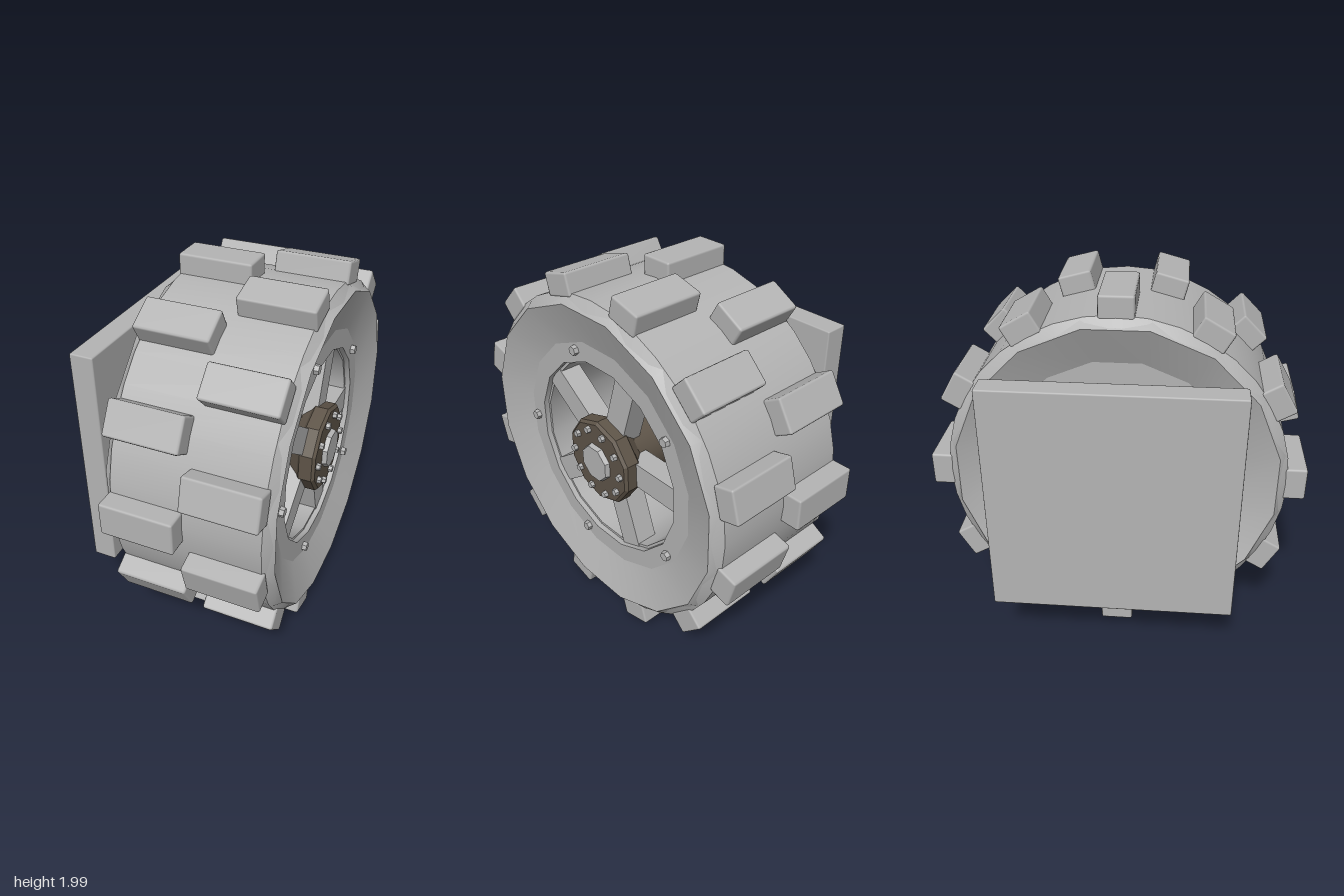
import * as THREE from 'three';
import { toCreasedNormals } from 'three/addons/utils/BufferGeometryUtils.js';
import { RoundedBoxGeometry } from 'three/addons/geometries/RoundedBoxGeometry.js';

export function createModel() {
  const grey = new THREE.MeshStandardMaterial({ color: 0xb4b4b4 });
  grey.name = 'grey';
  const brown = new THREE.MeshStandardMaterial({ color: 0x5e5448 });
  brown.name = 'dark brown';
  const orange = new THREE.MeshStandardMaterial({ color: 0xd8a22c });
  orange.name = 'orange';

  const model = new THREE.Group();
  model.name = 'wheelAssembly';
  const wheel = new THREE.Group();
  wheel.name = 'wheel';
  wheel.position.y = 1; // everything is built around the axle line
  model.add(wheel);

  const add = (name, geo, mat, x = 0, y = 0, z = 0, parent = wheel) => {
    const m = new THREE.Mesh(geo, mat);
    m.name = name;
    m.position.set(x, y, z);
    parent.add(m);
    return m;
  };
  // profile of [radius, x] points turned around the x axis
  const turned = (pts, sides, start = 0, crease = 0.42) => {
    const g = new THREE.LatheGeometry(pts.map(p => new THREE.Vector2(...p)), sides, start);
    g.rotateZ(-Math.PI / 2);
    return toCreasedNormals(g, crease);
  };
  const drum = (r1, r2, len, sides) =>
    toCreasedNormals(new THREE.CylinderGeometry(r1, r2, len, sides, 1, false, Math.PI / sides).rotateZ(-Math.PI / 2), 0.5);
  // group turned about the axle; its local +y is the radial direction
  const spin = (name, angle) => {
    const g = new THREE.Group();
    g.name = name;
    g.rotation.x = angle;
    wheel.add(g);
    return g;
  };

  // tyre tread with chamfered shoulders
  add('tread', turned([[0.85, -0.29], [0.9, -0.25], [0.9, 0.53], [0.85, 0.568]], 36), grey);
  // dished side walls, then rim rings joined by the open barrel
  const flat = Math.PI / 16;
  add('outerSidewall', turned([[0.895, 0.53], [0.858, 0.578], [0.645, 0.505]], 16, flat), grey);
  add('innerSidewall', turned([[0.645, -0.2], [0.858, -0.298], [0.895, -0.25]], 16, flat), grey);
  add('rim', turned([
    [0.645, 0.505], [0.54, 0.505], [0.54, 0.475], [0.525, 0.475], [0.525, -0.2], [0.645, -0.2],
  ], 16, flat), grey);
  // web closing the back of the rim
  add('rimWeb', drum(0.527, 0.527, 0.02, 16), grey, -0.19);

  // staggered tread blocks
  const lug = new RoundedBoxGeometry(0.39, 0.12, 0.18, 1, 0.012);
  for (let i = 0; i < 24; i++) {
    const g = spin('treadBlock', (i * Math.PI) / 12);
    add('block', lug, grey, i % 2 ? 0.35 : -0.065, 0.937, 0, g);
  }

  // five spokes and rim bolts
  const spoke = new THREE.BoxGeometry(0.12, 0.38, 0.14);
  const rimBolt = drum(0.025, 0.028, 0.03, 6);
  for (let i = 0; i < 5; i++) {
    const a = (i * 2 * Math.PI) / 5;
    add('spoke', spoke, grey, 0.42, 0.345, 0, spin('spokeArm', a - Math.PI / 2));
    add('rimBolt', rimBolt, grey, 0.515, 0.597, 0, spin('rimBoltArm', a + Math.PI / 2));
  }

  // hub
  add('hubBody', drum(0.18, 0.18, 0.67, 20), brown, 0.155);
  add('hubCollar', drum(0.23, 0.18, 0.07, 10), brown, 0.43);
  add('hubFlange', turned([[0.22, 0.45], [0.24, 0.465], [0.24, 0.535], [0.225, 0.55], [0, 0.55]], 10, Math.PI / 10), brown);
  add('hubCap', drum(0.1, 0.11, 0.03, 8), grey, 0.56);
  const hubBolt = drum(0.018, 0.02, 0.022, 6);
  for (let i = 0; i < 10; i++) {
    add('hubBolt', hubBolt, grey, 0.56, 0.185, 0, spin('hubBoltArm', ((i + 0.5) * Math.PI) / 5));
  }

  // axle and the dish that opens towards the mounting plate
  add('axle', drum(0.17, 0.17, 0.28, 24), grey, -0.32);
  add('dish', turned([[0.345, -0.19], [0.59, -0.455]], 16, flat, 0.5), grey);
  // short arms around the hub, against the web
  const arm = new THREE.BoxGeometry(0.1, 0.2, 0.065);
  for (let i = 0; i < 3; i++) {
    add('hubArm', arm, grey, -0.135, i === 1 ? 0.3 : 0.24, 0, spin('hubArmTurn', (i * Math.PI) / 2));
  }
  add('axleKey', new THREE.BoxGeometry(0.16, 0.08, 0.04), grey, -0.37, 0, 0.16);
  // slanted strut above the axle
  const strut = add('strut', new THREE.BoxGeometry(0.11, 0.3, 0.15), grey, -0.335, 0.4, -0.01);
  strut.rotation.z = -0.59;

  // brake block straddling the web, with its bracket
  add('brakeBlock', new RoundedBoxGeometry(0.15, 0.25, 0.27, 1, 0.015), orange, -0.205, 0, -0.495);
  add('brakeBracket', new THREE.BoxGeometry(0.05, 0.12, 0.14), grey, -0.274, 0, -0.44);

  // mounting plate
  add('mountingPlate', new RoundedBoxGeometry(0.13, 1.28, 1.28, 1, 0.008), grey, -0.515);
  return model;
}
